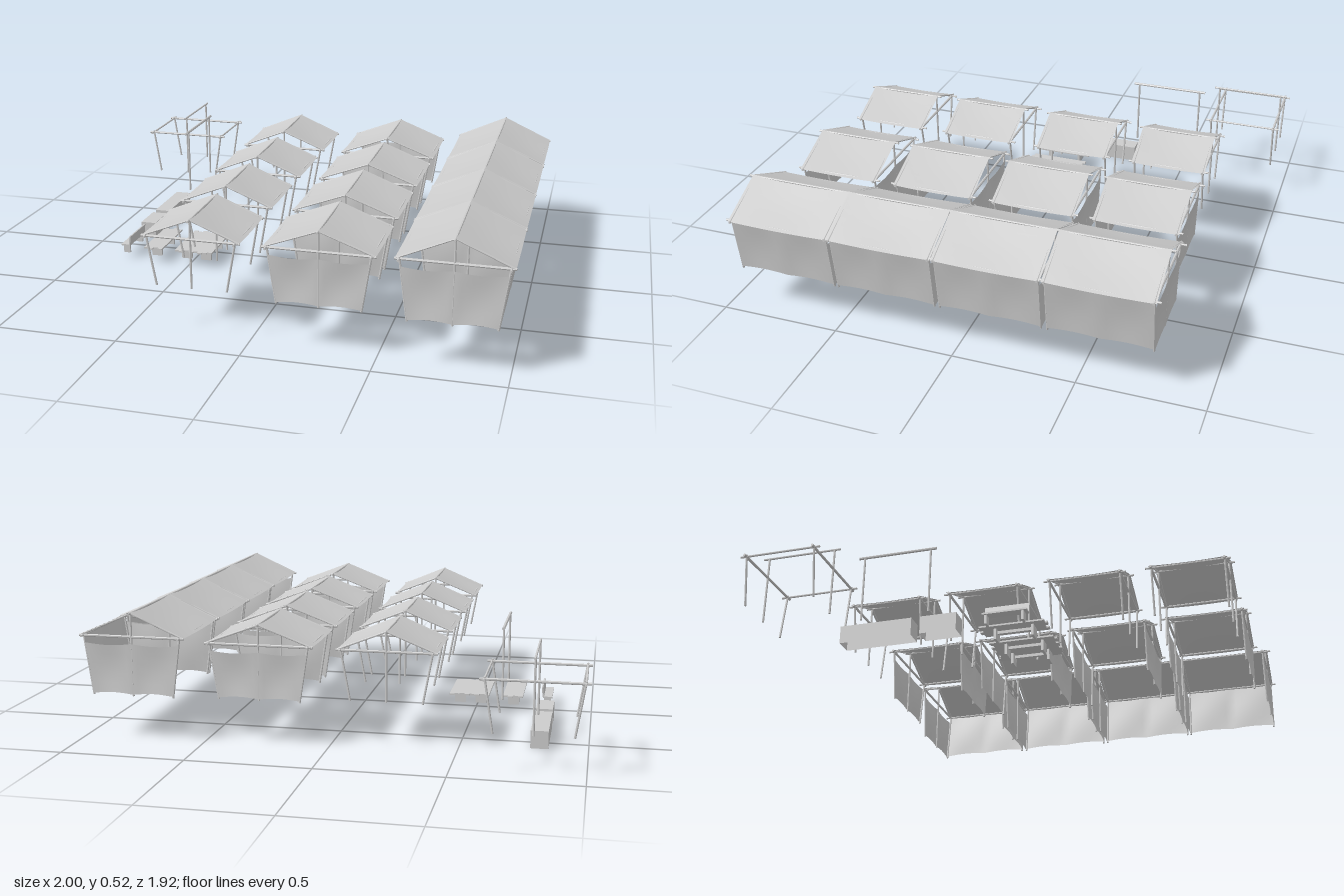
import * as THREE from 'three';

const mat = new THREE.MeshStandardMaterial({ color: 0xcccccc, flatShading: true });
const clothMat = new THREE.MeshStandardMaterial({ color: 0xcccccc, side: THREE.DoubleSide });

// Round timber between two points
function pole(parent, name, a, b, r = 0.0045) {
  const p = new THREE.Vector3(...a), q = new THREE.Vector3(...b);
  const d = q.clone().sub(p);
  const m = new THREE.Mesh(new THREE.CylinderGeometry(r, r, d.length(), 7), mat);
  m.name = name;
  m.position.copy(p).add(q).multiplyScalar(0.5);
  m.quaternion.setFromUnitVectors(new THREE.Vector3(0, 1, 0), d.normalize());
  parent.add(m);
  return m;
}

function box(parent, name, w, h, d, x, y, z) {
  const m = new THREE.Mesh(new THREE.BoxGeometry(w, h, d), mat);
  m.name = name;
  m.position.set(x, y, z);
  parent.add(m);
  return m;
}

// Sheet whose points follow a rule of u and v
function cloth(parent, name, rule, nu = 12, nv = 6) {
  const geo = new THREE.PlaneGeometry(1, 1, nu, nv);
  const pos = geo.attributes.position;
  for (let i = 0; i < pos.count; i++) {
    pos.setXYZ(i, ...rule(pos.getX(i) + 0.5, 0.5 - pos.getY(i)));
  }
  geo.computeVertexNormals();
  const m = new THREE.Mesh(geo, clothMat);
  m.name = name;
  parent.add(m);
}

// Splayed legs, ridge posts, cross beams and long beams
function frame(parent, { hw, hd, eave, ridge, foot, splay, over = 0.025 }) {
  for (const s of [-1, 1]) {
    const z = s * hd;
    for (const t of [-1, 1]) {
      pole(parent, 'cornerLeg', [t * (hw - splay), foot, z], [t * hw, eave + 0.008, z]);
    }
    pole(parent, 'ridgePost', [0, foot, z], [0, ridge, z]);
    pole(parent, 'crossBeam', [-hw - 0.018, eave, z], [hw + 0.018, eave, z], 0.0055);
    pole(parent, 'eaveBeam', [s * hw, eave, -hd - over], [s * hw, eave, hd + over]);
  }
  pole(parent, 'ridgeBeam', [0, ridge, -hd - over], [0, ridge, hd + over]);
}

// Roofed stall with optional end curtains and a side curtain
function stall(o) {
  const g = new THREE.Group();
  g.name = 'stall';
  frame(g, o);
  const { hw, hd, eave, ridge, foot, splay } = o;
  const out = hw + 0.016, len = hd + 0.01;
  for (const s of [-1, 1]) {
    cloth(g, 'roofCloth', (u, v) => [
      s * out * v,
      THREE.MathUtils.lerp(ridge + 0.006, eave + 0.002, v)
        - 0.008 * Math.sin(Math.PI * u) * (1 - 0.5 * v) - 0.004 * Math.sin(Math.PI * u) * Math.sin(Math.PI * v),
      (u - 0.5) * 2 * len]);
    for (const t of [-1, 1]) {
      pole(g, 'rafter', [0, ridge, s * hd], [t * out, eave, s * hd], 0.004);
    }
    if (o.curtains) cloth(g, 'endCurtain', (u, v) => {
      const bay = Math.abs(Math.sin(2 * Math.PI * u));
      const y = THREE.MathUtils.lerp(eave - 0.028 - 0.008 * bay, foot + 0.006 + 0.007 * bay, v);
      const half = hw - splay * (eave - y) / (eave - foot);
      return [(u - 0.5) * 2 * half, y, s * (hd + 0.004 - 0.008 * bay * Math.sin(Math.PI * v))];
    }, 16, 5);
  }
  if (o.side) cloth(g, 'sideCurtain', (u, v) => {
    const bay = Math.abs(Math.sin(2 * Math.PI * u));
    const y = THREE.MathUtils.lerp(eave - 0.005 * bay, foot + 0.01 + 0.007 * bay, v);
    const x = hw + 0.004 - splay * (eave - y) / (eave - foot);
    return [x - 0.006 * bay * Math.sin(Math.PI * v), y, (u - 0.5) * 2 * hd];
  }, 16, 5);
  return g;
}

// Plank table on panel trestles
function table(name, x, planks, trestles) {
  const g = new THREE.Group();
  g.name = name;
  const w = 0.0215;
  const shift = [0, 0.009, -0.006, 0.005, -0.004, 0.008, 0.002, -0.005];
  for (let i = 0; i < planks; i++) {
    box(g, 'plank', w, 0.007, 0.262, (i - (planks - 1) / 2) * w, 0.067, 0.064 + shift[i]);
  }
  for (const tx of trestles) {
    for (const z of [-0.005, 0.145]) box(g, 'trestlePanel', 0.048, 0.046, 0.01, tx, 0.041, z);
    box(g, 'stretcher', 0.008, 0.012, 0.15, tx, 0.054, 0.07);
  }
  g.position.x = x;
  return g;
}

// Cloth-covered counter, open underneath
function coveredCounter(z, depth) {
  const g = new THREE.Group();
  g.name = 'coveredCounter';
  const w = 0.07, h = 0.072;
  const panels = [
    [w, depth, 0, h, 0, -Math.PI / 2, 0],
    [w, h, 0, h / 2, depth / 2, 0, 0], [w, h, 0, h / 2, -depth / 2, 0, Math.PI],
    [depth, h, w / 2, h / 2, 0, 0, Math.PI / 2], [depth, h, -w / 2, h / 2, 0, 0, -Math.PI / 2]];
  for (const [a, b, x, y, pz, rx, ry] of panels) {
    const m = new THREE.Mesh(new THREE.PlaneGeometry(a, b), clothMat);
    m.name = 'coverPanel';
    m.position.set(x, y, pz);
    m.rotation.set(rx, ry, 0);
    g.add(m);
  }
  g.position.set(-0.81, 0, z);
  return g;
}

export function createModel() {
  const model = new THREE.Group();
  model.name = 'marketStalls';

  // Three rows of stalls: open, with end curtains, and a closed arcade
  const rows = [
    { x: -0.23, zs: [-0.585, -0.15, 0.29, 0.72], hw: 0.18, hd: 0.15, eave: 0.395, ridge: 0.473, foot: 0.195, splay: 0.038 },
    { x: 0.275, zs: [-0.58, -0.152, 0.285, 0.718], hw: 0.2, hd: 0.165, eave: 0.4, ridge: 0.48, foot: 0.178, splay: 0.036, curtains: true },
    { x: 0.782, zs: [-0.577, -0.142, 0.29, 0.718], hw: 0.2, hd: 0.205, eave: 0.42, ridge: 0.514, foot: 0.18, splay: 0.034, curtains: true, side: true }];
  for (const row of rows) {
    for (const z of row.zs) {
      const s = stall(row);
      s.position.set(row.x, 0, z);
      model.add(s);
    }
  }

  // Bare frame
  const bare = new THREE.Group();
  bare.name = 'bareFrame';
  frame(bare, { hw: 0.18, hd: 0.145, eave: 0.36, ridge: 0.447, foot: 0.158, splay: 0.033 });
  bare.position.set(-0.806, 0, -0.8);
  model.add(bare);

  // Single beam on two posts
  const rail = new THREE.Group();
  rail.name = 'postAndBeam';
  pole(rail, 'beam', [0, 0.477, -0.61], [0, 0.477, -0.27], 0.006);
  for (const z of [-0.585, -0.295]) pole(rail, 'post', [0, 0.19, z], [0, 0.477, z]);
  rail.position.x = -0.662;
  model.add(rail);

  model.add(coveredCounter(-0.437, 0.292), coveredCounter(-0.183, 0.146));
  model.add(table('narrowTable', -0.664, 4, [0]), table('wideTable', -0.475, 8, [-0.045, 0.045]));

  // Bench with a backrest
  const bench = new THREE.Group();
  bench.name = 'bench';
  box(bench, 'seat', 0.04, 0.007, 0.175, -0.003, 0.058, 0.075);
  box(bench, 'backrest', 0.006, 0.042, 0.175, 0.018, 0.08, 0.075).rotation.z = -0.12;
  for (const z of [0, 0.145]) box(bench, 'benchLeg', 0.03, 0.038, 0.01, -0.002, 0.037, z);
  bench.position.x = -0.808;
  model.add(bench);

  return model;
}
